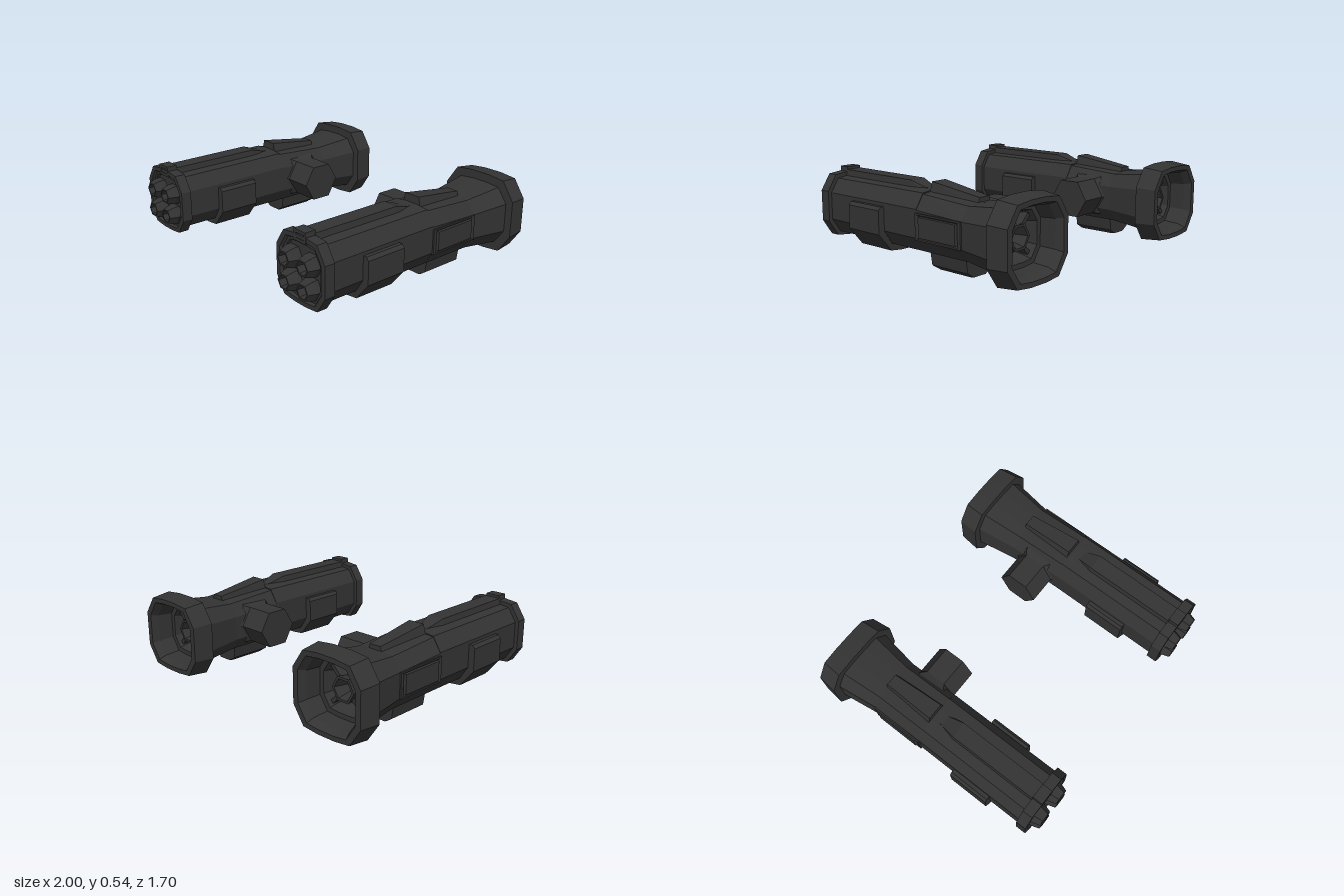
import * as THREE from 'three';

const material = new THREE.MeshStandardMaterial({ color: 0x333333, flatShading: true, roughness: 0.8 });

// Skin a run of [z, points] sections (points counter-clockwise seen from +z), closed at both ends
function loft(sections) {
  const n = sections[0][1].length, pos = [], idx = [];
  for (const [z, pts] of sections) for (const [x, y] of pts) pos.push(x, y, z);
  for (let i = 0; i < sections.length - 1; i++) {
    for (let j = 0; j < n; j++) {
      const a = i * n + j, b = i * n + (j + 1) % n;
      idx.push(a, b, b + n, a, b + n, a + n);
    }
  }
  const end = (sections.length - 1) * n;
  for (let j = 1; j < n - 1; j++) {
    idx.push(0, j + 1, j);
    idx.push(end, end + j, end + j + 1);
  }
  const g = new THREE.BufferGeometry();
  g.setAttribute('position', new THREE.Float32BufferAttribute(pos, 3));
  g.setIndex(idx);
  g.computeVertexNormals();
  return g;
}

// Twelve-sided hull section: octagon with slightly peaked top and bottom
function hull(z, w, top, bottom) {
  const c = (top + bottom) / 2, h = (top - bottom) / 2;
  const q = [[1, 0.47], [0.69, 0.95], [0.25, 1]];
  const right = q.map(([x, y]) => [x * w, y * h]);
  const half = [...right, ...right.map(([x, y]) => [-x, y]).reverse()];
  return [z, [...half, ...half.map(([x, y]) => [-x, -y])].map(([x, y]) => [x, c + y])];
}

const trapezoid = (z, wBottom, wTop, bottom, top) =>
  [z, [[-wBottom, bottom], [wBottom, bottom], [wTop, top], [-wTop, top]]];

const rect = (z, w, h) => trapezoid(z, w, w, -h, h);

// Six-sided cup facing +z, from [radius, z] points
function hexCup(points) {
  const g = new THREE.LatheGeometry(points.map(([r, z]) => new THREE.Vector2(r, z)), 6, Math.PI / 2);
  return g.rotateX(Math.PI / 2);
}

// One launcher; s = 1 for the left, -1 for the right
function createLauncher(s) {
  const group = new THREE.Group();
  const add = (name, geometry, x = 0, y = 0, z = 0) => {
    const mesh = new THREE.Mesh(geometry, material);
    mesh.name = name;
    mesh.position.set(x, y, z);
    group.add(mesh);
    return mesh;
  };

  // Body with the hollow flared exhaust bell at the rear
  add('body', loft([
    hull(-0.60, 0.13, 0.40, 0.16),
    hull(-0.70, 0.16, 0.43, 0.13),
    hull(-0.70, 0.19, 0.46, 0.10),
    hull(-0.80, 0.20, 0.47, 0.09),
    hull(-0.845, 0.222, 0.49, 0.065),
    hull(-0.845, 0.26, 0.52, 0.035),
    hull(-0.71, 0.275, 0.535, 0.025),
    hull(-0.71, 0.225, 0.48, 0.083),
    hull(-0.44, 0.187, 0.45, 0.11),
    hull(-0.075, 0.187, 0.473, 0.11),
    hull(-0.075, 0.187, 0.48, 0.11),
    hull(0.74, 0.187, 0.48, 0.11),
  ]));

  // Exhaust nozzle and its struts inside the bell
  const exhaust = hexCup([[0.06, 0], [0.085, 0.12], [0.068, 0.12], [0.04, 0.03], [0, 0.03]]);
  add('exhaustNozzle', exhaust.rotateY(Math.PI), 0, 0.28, -0.59);
  for (let i = 0; i < 4; i++) {
    const angle = Math.PI / 4 + i * Math.PI / 2;
    const strut = add('exhaustStrut', new THREE.BoxGeometry(0.09, 0.025, 0.08),
      Math.cos(angle) * 0.115, 0.28 + Math.sin(angle) * 0.115, -0.64);
    strut.rotation.z = angle;
  }

  // Muzzle ring with stepped recess
  add('muzzleRing', loft([
    hull(0.725, 0.212, 0.505, 0.085),
    hull(0.795, 0.212, 0.505, 0.085),
    hull(0.795, 0.182, 0.478, 0.112),
    hull(0.78, 0.172, 0.468, 0.122),
    hull(0.78, 0.158, 0.452, 0.138),
    hull(0.765, 0.152, 0.446, 0.144),
  ]));

  // Four hexagonal barrels
  for (const x of [-0.083, 0.083]) {
    for (const y of [0.21, 0.353]) {
      add('barrel', hexCup([[0.07, 0], [0.07, 0.035], [0.052, 0.09], [0.042, 0.09], [0.036, 0.03], [0, 0.03]]),
        x, y, 0.76);
    }
  }

  // Sight lug on the muzzle ring
  add('sightLug', loft([
    [0.725, 0.055, 0.05, -0.035, 0.035],
    [0.797, 0.055, 0.05, -0.035, 0.035],
    [0.797, 0.035, 0.035, -0.015, 0.015],
    [0.78, 0.035, 0.035, -0.015, 0.015],
  ].map(a => trapezoid(...a))), 0, 0.5, 0);

  // Top rail tapering to the rear
  add('topRail', loft([
    trapezoid(-0.08, 0.03, 0.02, 0.45, 0.478),
    trapezoid(0.0, 0.05, 0.035, 0.45, 0.482),
    trapezoid(0.11, 0.065, 0.055, 0.45, 0.518),
    trapezoid(0.73, 0.065, 0.055, 0.45, 0.518),
  ]));

  // Rear sight wedge
  add('topWedge', loft([
    trapezoid(-0.445, 0.055, 0.04, 0.43, 0.478),
    trapezoid(-0.075, 0.08, 0.055, 0.43, 0.53),
  ]));

  // Grip collar wrapped around the sides and underside
  const collar = [[-0.212, 0.36], [-0.23, 0.34], [-0.23, 0.19], [-0.135, 0.075], [-0.05, 0.066],
    [0.05, 0.066], [0.135, 0.075], [0.23, 0.19], [0.23, 0.34], [0.212, 0.36]];
  add('gripCollar', loft([[0.213, collar], [0.495, collar]]));

  // Underside block
  const block = (z, low) => [z, [[-0.115, 0.13], [-0.1, 0.035], [-0.05, low], [0.05, low], [0.1, 0.035], [0.115, 0.13]]];
  add('undersideBlock', loft([block(-0.405, 0.004), block(-0.385, 0), block(-0.13, 0), block(-0.112, 0.004)]));

  // Framed panel on the outer side
  add('sidePanel', loft([
    rect(0.15, 0.185, 0.082),
    rect(0.197, 0.185, 0.082),
    rect(0.197, 0.17, 0.072),
    rect(0.19, 0.155, 0.065),
    rect(0.205, 0.15, 0.062),
  ]).rotateY(s * Math.PI / 2), 0, 0.28, -0.257);

  // Hexagonal mount on the inner side, widening at its root
  const hex = (z, w, h) => [z, [0, 1, 2, 3, 4, 5].map(i =>
    [w * Math.cos(i * Math.PI / 3), h * Math.sin(i * Math.PI / 3)])];
  add('sideMount', loft([
    hex(0.12, 0.2, 0.17),
    hex(0.165, 0.187, 0.15),
    hex(0.195, 0.14, 0.139),
    hex(0.39, 0.14, 0.139),
  ]).rotateY(-s * Math.PI / 2), 0, 0.285, -0.25);

  group.position.x = s * 0.725;
  return group;
}

export function createModel() {
  const model = new THREE.Group();
  model.name = 'launcherPair';
  for (const [name, s] of [['leftLauncher', 1], ['rightLauncher', -1]]) {
    const launcher = createLauncher(s);
    launcher.name = name;
    model.add(launcher);
  }
  return model;
}
